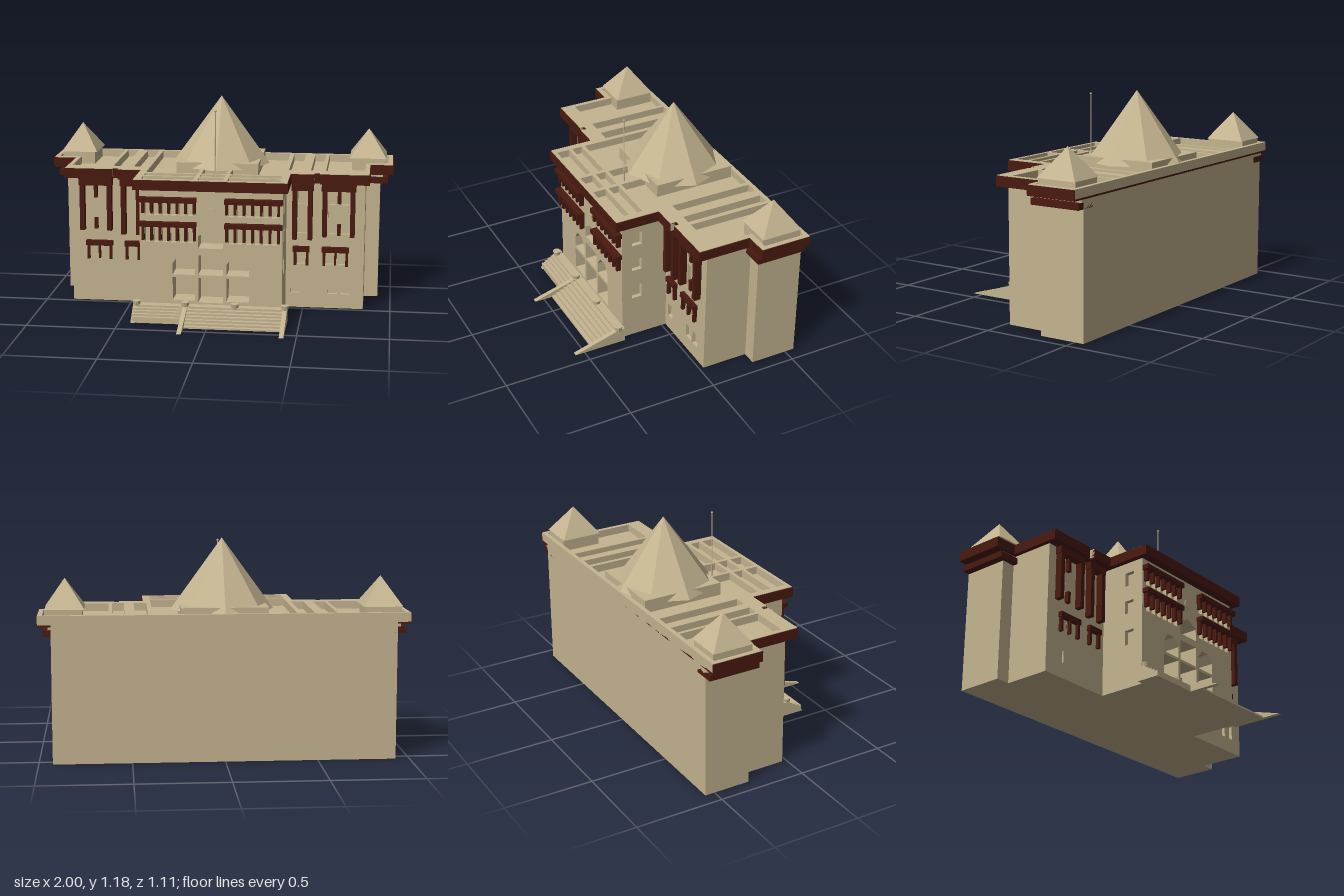
import * as THREE from 'three';

const tan = new THREE.MeshStandardMaterial({ color: 0xc4b490, flatShading: true });
const red = new THREE.MeshStandardMaterial({ color: 0x4a1a10, flatShading: true });

export function createModel() {
  const model = new THREE.Group();
  const add = (name, geo, mat = tan) => {
    const m = new THREE.Mesh(geo, mat);
    m.name = name;
    model.add(m);
    return m;
  };
  // box given by its limits
  const box = (name, x0, x1, y0, y1, z0, z1, mat) =>
    add(name, new THREE.BoxGeometry(x1 - x0, y1 - y0, z1 - z0)
      .translate((x0 + x1) / 2, (y0 + y1) / 2, (z0 + z1) / 2), mat);
  // same box on both sides
  const pair = (name, x0, x1, ...rest) => {
    box(name, x0, x1, ...rest);
    box(name, -x1, -x0, ...rest);
  };
  const rect = (x0, x1, y0, y1) => [[x0, y0], [x1, y0], [x1, y1], [x0, y1]];
  const flip = pts => pts.map(([x, y]) => [-x, y]);
  const vecs = pts => pts.map(p => new THREE.Vector2(...p));
  const extrude = (pts, holes, depth) => {
    const s = new THREE.Shape(vecs(pts));
    s.holes = holes.map(h => new THREE.Path(vecs(h)));
    return new THREE.ExtrudeGeometry(s, { depth, bevelEnabled: false });
  };
  // wall in the xy plane between two z values
  const wall = (name, pts, holes, z0, z1, mat) =>
    add(name, extrude(pts, holes, z1 - z0).translate(0, 0, z0), mat);
  // slab from a plan of [x, z] points between two heights
  const slab = (name, plan, holes, y0, y1, mat) => {
    const p = a => a.map(([x, z]) => [x, -z]);
    return add(name, extrude(p(plan), holes.map(p), y1 - y0).rotateX(-Math.PI / 2).translate(0, y0, 0), mat);
  };

  // main masses
  const back = -0.555;
  box('cornerTowers', -0.925, 0.925, 0, 0.75, back, -0.29);
  box('wings', -0.845, 0.845, 0, 0.75, -0.3, -0.045);
  box('centreCore', -0.375, 0.375, 0, 0.75, -0.05, 0.13);

  // wing fronts with window openings
  const wingHoles = [
    rect(0.64, 0.70, 0.085, 0.165), rect(0.712, 0.77, 0.085, 0.165), rect(0.43, 0.48, 0.085, 0.165),
    rect(0.625, 0.675, 0.26, 0.335), rect(0.69, 0.74, 0.26, 0.335), rect(0.462, 0.515, 0.26, 0.335),
  ];
  for (const [y0, y1] of [[0.44, 0.57], [0.61, 0.695]])
    wingHoles.push(rect(0.64, 0.69, y0, y1), rect(0.71, 0.76, y0, y1), rect(0.465, 0.52, y0, y1));
  const wingWall = rect(0.39, 0.845, 0, 0.75);
  wall('wingFrontLeft', wingWall, wingHoles, -0.045, -0.025);
  wall('wingFrontRight', flip(wingWall), wingHoles.map(flip), -0.045, -0.025);

  // red window surrounds on the wings
  const zf = [-0.025, 0.015, red];
  for (const [x0, x1, y0] of [[0.605, 0.79, 0.43], [0.435, 0.55, 0.41]]) {
    pair('tallFrameSide', x0, x0 + 0.027, y0, 0.73, ...zf);
    pair('tallFrameSide', x1 - 0.027, x1, y0, 0.73, ...zf);
    pair('tallFrameHead', x0 - 0.005, x1 + 0.005, 0.695, 0.735, ...zf);
  }
  for (const [y0, y1] of [[0.435, 0.5], [0.62, 0.695]])
    pair('windowMullion', 0.69, 0.71, y0, y1, -0.03, -0.005, red);
  for (const [x0, x1] of [[0.605, 0.76], [0.44, 0.535]]) {
    pair('lowWindowHood', x0, x1, 0.335, 0.365, -0.025, 0.0, red);
    pair('lowWindowSide', x0 + 0.005, x0 + 0.02, 0.255, 0.335, -0.025, -0.005, red);
    pair('lowWindowSide', x1 - 0.02, x1 - 0.005, 0.255, 0.335, -0.025, -0.005, red);
  }
  pair('lowWindowMullion', 0.677, 0.688, 0.26, 0.335, -0.03, -0.005, red);

  // entrance bays: lower rectangles, gabled upper openings
  const sideBay = [[0.088, 0.25], [0.215, 0.25], [0.215, 0.315], [0.18, 0.362], [0.123, 0.362], [0.088, 0.315]];
  const portal = [
    rect(-0.07, 0.07, 0.09, 0.235), rect(-0.07, 0.07, 0.25, 0.365),
    [[-0.07, 0.405], [0.07, 0.405], [0.07, 0.475], [0, 0.515], [-0.07, 0.475]],
    rect(0.088, 0.215, 0.1, 0.235), rect(-0.215, -0.088, 0.1, 0.235), sideBay, flip(sideBay),
  ];
  // two rows of gallery windows
  const gallery = [];
  const rows = [[0.59, 0.668, 0.695], [0.435, 0.53, 0.555]];
  for (const [y0, y1, y2] of rows) {
    pair('galleryHood', 0.08, 0.4, y1, y2, 0.25, 0.29, red);
    for (let i = 0; i < 7; i++) {
      const x = 0.09 + i * 0.048;
      pair('galleryPost', x - 0.007, x + 0.007, y0 + 0.015, y1, 0.25, 0.275, red);
      if (i < 6) {
        const w = rect(x + 0.008, x + 0.04, y0, y1);
        gallery.push(w, flip(w));
      }
    }
  }
  wall('porchDepth', rect(-0.375, 0.375, 0, 0.75), portal, 0.13, 0.22);
  wall('centreFront', rect(-0.4, 0.4, 0, 0.75), [...portal, ...gallery], 0.22, 0.25);
  const disc = add('roundPanel', new THREE.CylinderGeometry(0.03, 0.03, 0.006, 24).rotateX(Math.PI / 2));
  disc.position.set(0, 0.605, 0.252);

  // side walls of the centre block, drawn in [-z, y]
  const sideHoles = [[0.25, 0.335], [0.435, 0.51], [0.6, 0.68]].map(([a, b]) => rect(-0.19, -0.13, a, b));
  for (const x of [0.375, -0.4])
    add('centreSide', extrude(rect(-0.22, 0.045, 0, 0.75), sideHoles, 0.025)
      .rotateY(Math.PI / 2).translate(x, 0, 0));

  // red cornice, open along the flat back
  const half = d => [[0.43 - d, 0.3 - d], [0.43 - d, 0.045 - d], [0.56, 0.045 - d], [0.56, 0.01 - d], [0.59, 0.01 - d],
    [0.59, 0.037 - d], [0.87 - d, 0.037 - d], [0.87 - d, -0.262 - d], [1 - d, -0.262 - d], [1 - d, back]];
  const outline = d => [...flip(half(d)).reverse(), ...half(d)];
  slab('corniceUnderside', outline(0), [], 0.74, 0.75, red);
  slab('corniceBand', [...outline(0), ...outline(0.004).reverse()], [], 0.75, 0.797, red);
  pair('towerLowerCornice', 0.845, 0.968, 0.69, 0.725, back, -0.262, red);
  pair('towerCorniceNeck', 0.845, 0.94, 0.725, 0.74, back, -0.28);

  // roof deck, parapets and beams
  slab('roofDeck', outline(0.004), [], 0.75, 0.757);
  const outer = [[0.62, -0.53], [0.97, -0.53], [0.97, -0.295], [0.84, -0.295], [0.84, -0.05], [0.62, -0.05]];
  const strips = [rect(0.41, 0.48, -0.53, -0.05), rect(0.535, 0.6, -0.53, -0.05), outer,
    rect(0.095, 0.385, 0.12, 0.18), rect(0.095, 0.385, 0.2, 0.275)];
  slab('parapets', outline(0.004), [...strips, ...strips.map(flip),
    rect(-0.385, 0.385, -0.53, 0.1), rect(-0.07, 0.07, 0.12, 0.18), rect(-0.07, 0.07, 0.2, 0.275)], 0.757, 0.8);
  pair('roofBeam', 0.07, 0.09, 0.757, 0.8, -0.05, 0.1);

  // central octagonal spire on its square base
  box('spireBase', -0.235, 0.235, 0.757, 0.83, -0.52, -0.05);
  add('spire', new THREE.ConeGeometry(0.282, 0.39, 8)).position.set(0, 0.99, -0.272);

  // corner pyramids
  for (const s of [-1, 1]) {
    box('pyramidBase', s * 0.855 - 0.095, s * 0.855 + 0.095, 0.757, 0.83, -0.525, -0.295);
    const p = add('cornerPyramid', new THREE.ConeGeometry(Math.SQRT1_2, 0.158, 4, 1).rotateY(Math.PI / 4));
    p.scale.set(0.212, 1, 0.235);
    p.position.set(s * 0.852, 0.907, -0.41);
  }

  // flagpole
  add('flagpole', new THREE.CylinderGeometry(0.003, 0.004, 0.39, 8)).position.set(0, 0.95, 0.037);
  add('flagpoleBall', new THREE.SphereGeometry(0.007, 10, 8)).position.set(0, 1.145, 0.037);

  // entrance landing and steps: a long flight, and a short one on the right
  box('landing', -0.43, 0.43, 0, 0.08, 0.25, 0.3);
  for (let i = 0; i < 6; i++) {
    const y = 0.068 - i * 0.0115;
    box('step', -0.14, 0.42, 0, y, 0.3 + i * 0.025, 0.325 + i * 0.025);
    if (i < 4) box('sideStep', -0.43, -0.14, 0, y, 0.3 + i * 0.02, 0.32 + i * 0.02);
  }
  // sloping cheek walls, drawn in [-z, y]
  for (const [x, z] of [[-0.152, 0.555], [0.407, 0.555], [-0.435, 0.385]])
    add('cheekWall', extrude([[-0.25, 0], [-0.25, 0.085], [-0.29, 0.08], [-z, 0.002], [-z, 0]], [], 0.025)
      .rotateY(Math.PI / 2).translate(x, 0, 0));
  // planters on the stair ends
  for (const x of [-0.415, -0.14, 0.14, 0.42]) {
    add('planter', new THREE.CylinderGeometry(0.024, 0.018, 0.03, 10)).position.set(x, 0.087, 0.285);
  }
  return model;
}
